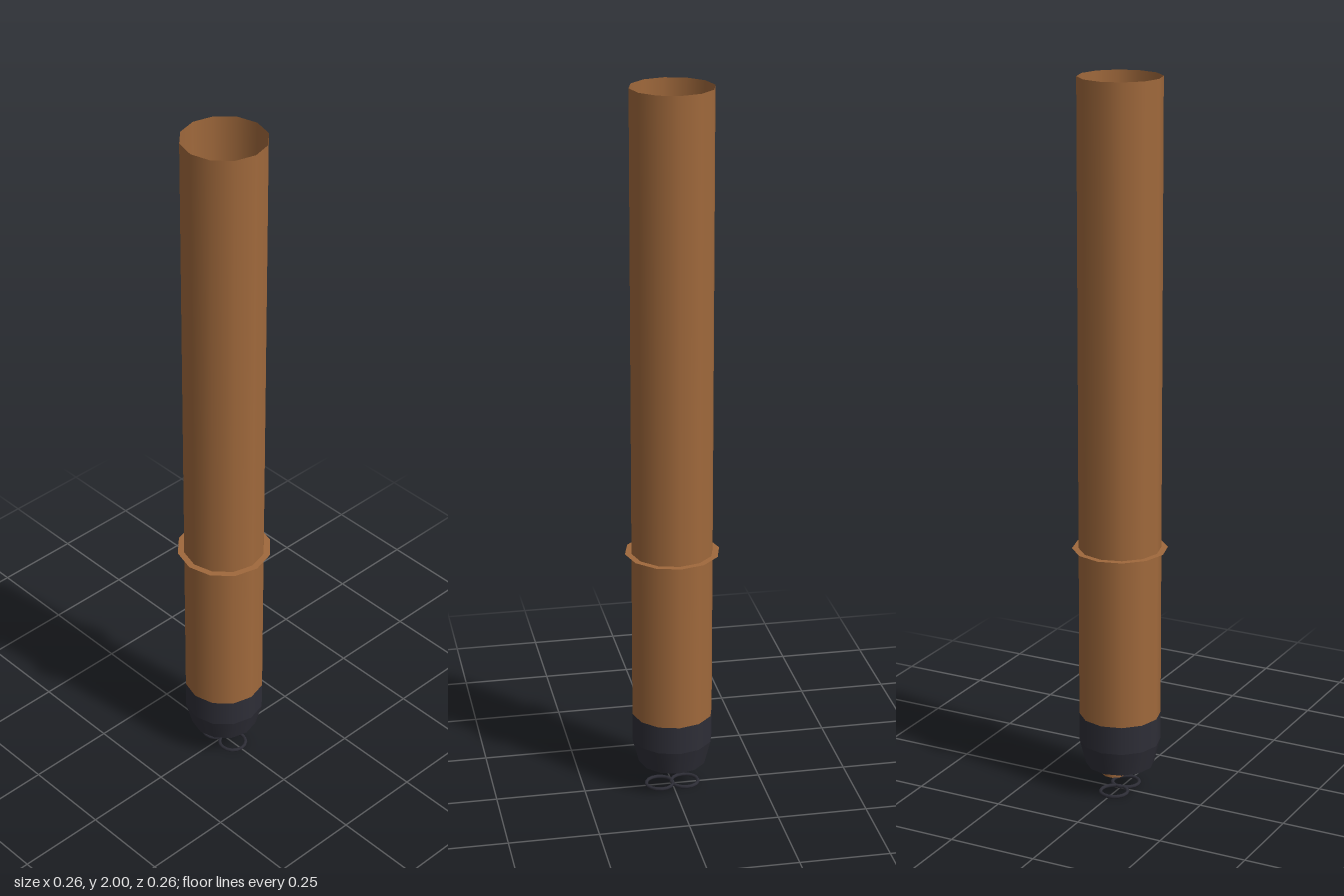
import * as THREE from 'three';

export function createModel() {
  const group = new THREE.Group();
  const copper = new THREE.MeshStandardMaterial({ color: 0xa0693c, side: THREE.DoubleSide });
  copper.name = 'copper brown';
  const dark = new THREE.MeshStandardMaterial({ color: 0x2e2e37, side: THREE.DoubleSide });
  dark.name = 'dark grey';

  const SIDES = 12, R = 0.113;
  const add = (name, geometry, material, x = 0, y = 0) => {
    const mesh = new THREE.Mesh(geometry, material);
    mesh.name = name;
    mesh.position.set(x, y, 0);
    group.add(mesh);
    return mesh;
  };
  // Open-ended tube between two heights
  const tube = (name, rTop, rBottom, y0, y1, material, x = 0, sides = SIDES) =>
    add(name, new THREE.CylinderGeometry(rTop, rBottom, y1 - y0, sides, 1, true), material, x, (y0 + y1) / 2);

  // Long hollow body, open at the top
  tube('body', R, R, 0.23, 2, copper);

  // Thin flat collar around the body
  const collar = new THREE.RingGeometry(R, 0.131, SIDES).rotateX(-Math.PI / 2);
  add('collar', collar, copper, 0, 0.715);

  // Dark tail section: straight band, tapered skirt and the floor of the body
  tube('tailBand', R, R, 0.15, 0.23, dark);
  tube('tailSkirt', R, 0.095, 0.08, 0.15, dark);
  const floor = new THREE.CircleGeometry(R, SIDES).rotateX(-Math.PI / 2).rotateY(Math.PI / 2);
  add('bodyFloor', floor, dark, 0, 0.23);

  // Twin engines, each with a thin exit ring hanging below
  for (const side of [-1, 1]) {
    const label = side > 0 ? 'left' : 'right';
    const engine = new THREE.CylinderGeometry(0.034, 0.034, 0.09, 10);
    add(label + 'Engine', engine, copper, side * 0.035, 0.105);
    const ring = new THREE.TorusGeometry(0.038, 0.005, 6, 16).rotateX(Math.PI / 2);
    add(label + 'ExitRing', ring, dark, side * 0.036, 0.005);
  }
  return group;
}
